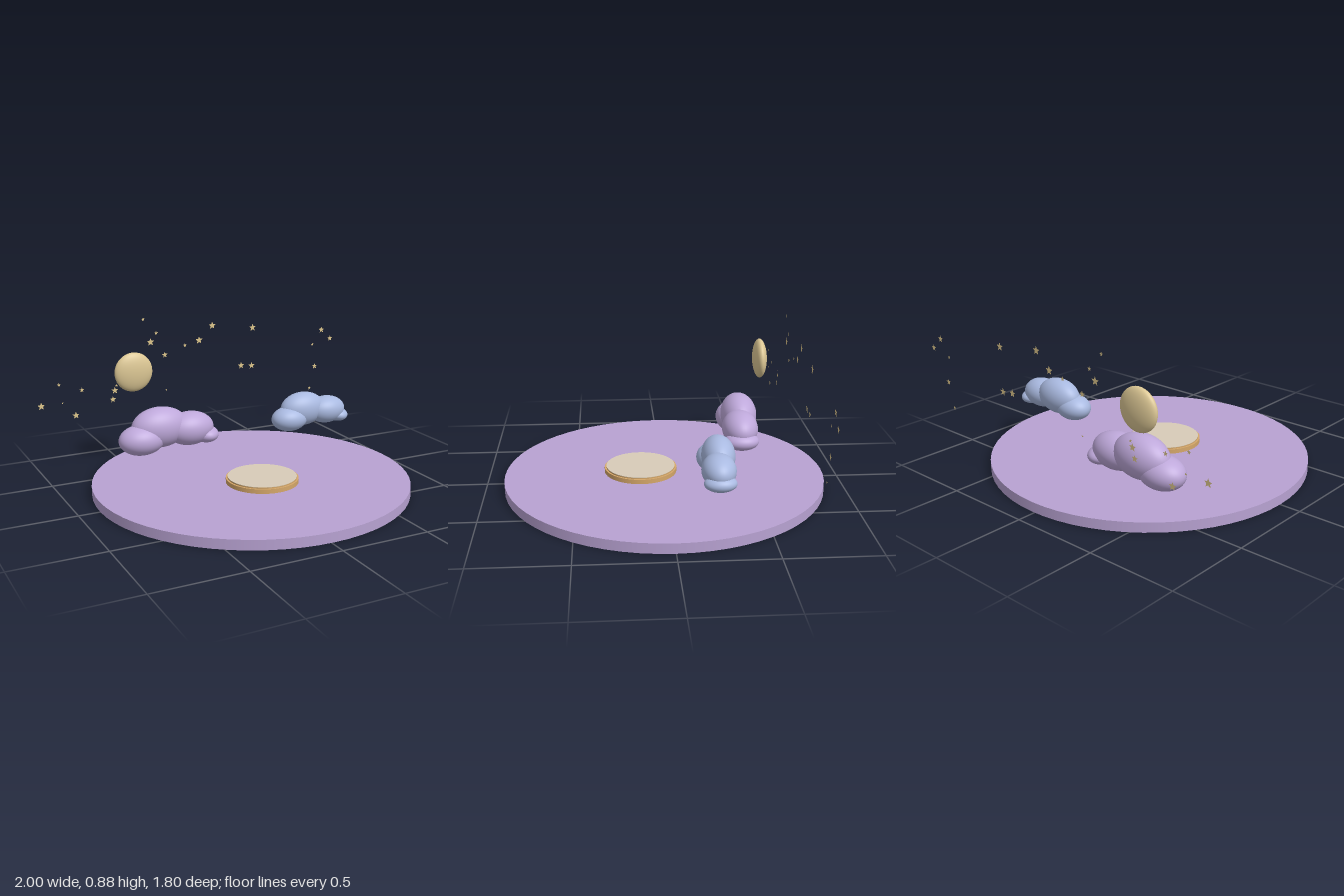
import * as THREE from 'three';

const mat = (name, color, side = THREE.FrontSide) => {
  const m = new THREE.MeshStandardMaterial({ color, side });
  m.name = name;
  return m;
};

export function createModel() {
  const root = new THREE.Group();
  root.name = 'nightSkyStage';

  const groundPurple = mat('groundPurple', 0xb8a2d2);
  const cloudPurple = mat('cloudPurple', 0xbea8da);
  const cloudBlue = mat('cloudBlue', 0xa9b9e0);
  const moonGold = mat('moonGold', 0xdcc794);
  const starGold = mat('starGold', 0xdcc48a, THREE.DoubleSide);
  const rimGold = mat('rimGold', 0xd6a86a);
  const padCream = mat('padCream', 0xd8ccb8);

  const add = (parent, name, geometry, material, x, y, z) => {
    const mesh = new THREE.Mesh(geometry, material);
    mesh.name = name;
    mesh.position.set(x, y, z);
    parent.add(mesh);
    return mesh;
  };

  // Round ground and the small pedestal hovering just above it
  add(root, 'ground', new THREE.CylinderGeometry(0.898, 0.898, 0.055, 64), groundPurple, 0.017, 0.0275, 0);
  add(root, 'pedestalRim', new THREE.CylinderGeometry(0.203, 0.203, 0.025, 48), rimGold, 0.017, 0.0825, 0.134);
  add(root, 'pedestalEdge', new THREE.CylinderGeometry(0.193, 0.193, 0.007, 48), rimGold, 0.017, 0.0985, 0.134);
  add(root, 'pedestalTop', new THREE.CylinderGeometry(0.193, 0.193, 0.002, 48), padCream, 0.017, 0.103, 0.134);

  // Flattened moon
  const ball = new THREE.SphereGeometry(1, 40, 28);
  add(root, 'moon', ball, moonGold, -0.451, 0.587, -0.606).scale.set(0.117, 0.117, 0.041);

  // Clouds: each puff is x, y, z, then radii along x, y, z
  const cloud = (name, material, puffs) => {
    const group = new THREE.Group();
    group.name = name;
    puffs.forEach(([x, y, z, rx, ry, rz], i) =>
      add(group, `${name}Puff${i + 1}`, ball, material, x, y, z).scale.set(rx, ry, rz));
    root.add(group);
  };
  cloud('purpleCloud', cloudPurple, [
    [-0.468, 0.214, -0.455, 0.139, 0.091, 0.105],
    [-0.348, 0.272, -0.471, 0.175, 0.122, 0.106],
    [-0.163, 0.246, -0.455, 0.150, 0.102, 0.104],
    [-0.064, 0.200, -0.453, 0.077, 0.051, 0.100],
  ]);
  cloud('blueCloud', cloudBlue, [
    [0.394, 0.288, -0.232, 0.113, 0.074, 0.088],
    [0.492, 0.336, -0.247, 0.145, 0.102, 0.087],
    [0.648, 0.317, -0.232, 0.123, 0.083, 0.088],
    [0.725, 0.278, -0.232, 0.063, 0.042, 0.083],
  ]);

  // Flat five-pointed stars on one back plane: x, y, radius
  const starShape = new THREE.Shape();
  for (let i = 0; i < 10; i++) {
    const r = i % 2 ? 0.45 : 1;
    const a = Math.PI / 2 + (i * Math.PI) / 5;
    const p = [r * Math.cos(a), r * Math.sin(a)];
    if (i) starShape.lineTo(...p);
    else starShape.moveTo(...p);
  }
  starShape.closePath();
  const starGeometry = new THREE.ShapeGeometry(starShape);
  const stars = new THREE.Group();
  stars.name = 'stars';
  root.add(stars);
  [
    [-0.977, 0.41, 0.024], [-0.866, 0.526, 0.012], [-0.85, 0.415, 0.007],
    [-0.773, 0.33, 0.023], [-0.73, 0.48, 0.015], [-0.541, 0.40, 0.020],
    [-0.527, 0.454, 0.022], [-0.515, 0.484, 0.010], [-0.334, 0.87, 0.012],
    [-0.29, 0.727, 0.025], [-0.253, 0.78, 0.013], [-0.20, 0.64, 0.019],
    [-0.195, 0.42, 0.007], [-0.065, 0.687, 0.014], [0.03, 0.71, 0.025],
    [0.12, 0.795, 0.025], [0.32, 0.52, 0.024], [0.395, 0.512, 0.023],
    [0.402, 0.758, 0.025], [0.827, 0.313, 0.012], [0.845, 0.608, 0.011],
    [0.866, 0.459, 0.020], [0.913, 0.70, 0.022], [0.98, 0.637, 0.020],
  ].forEach(([x, y, r], i) =>
    add(stars, `star${i + 1}`, starGeometry, starGold, x, y, -0.735).scale.set(r, r, 1));

  return root;
}
